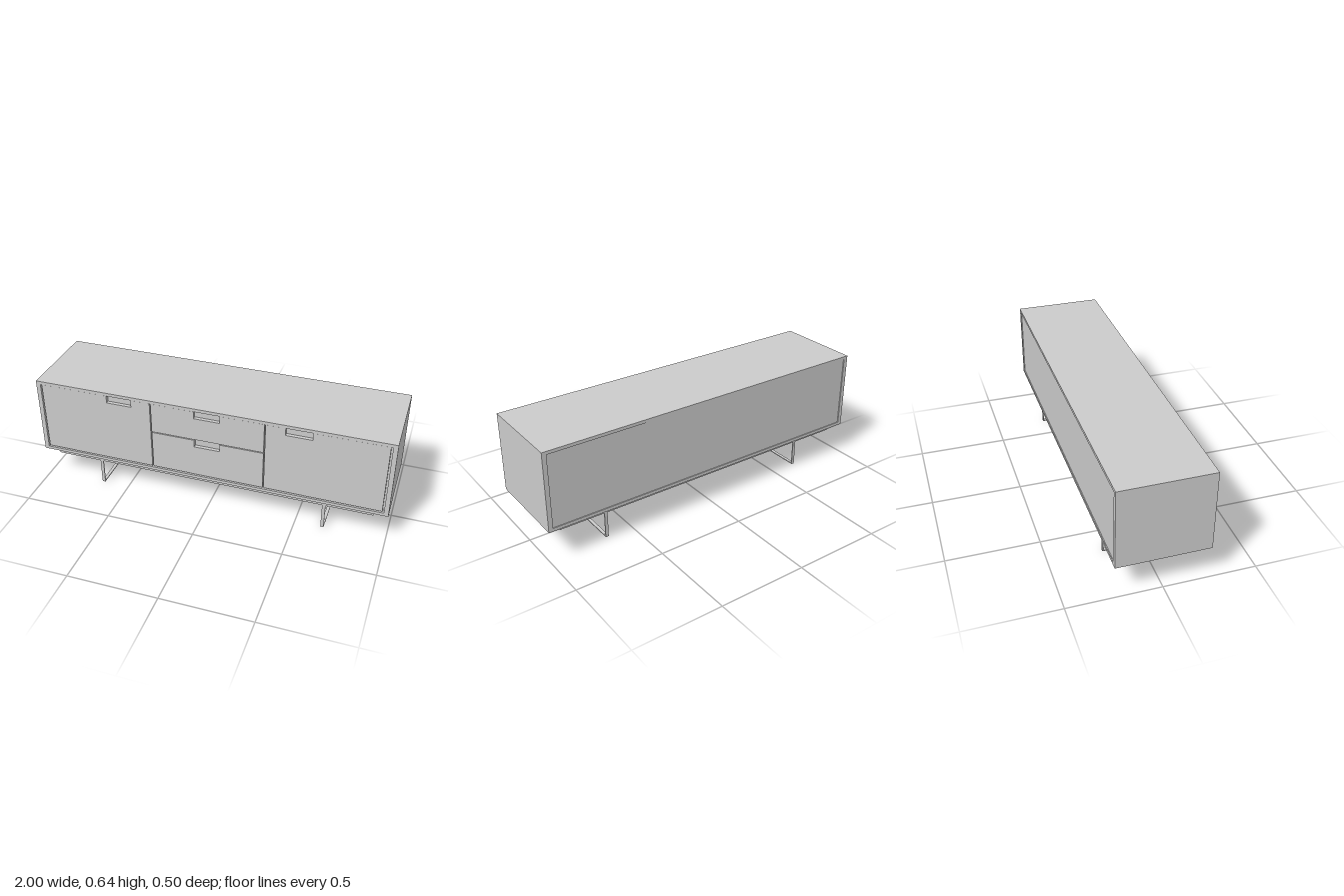
import * as THREE from 'three';

const material = new THREE.MeshStandardMaterial({ color: 0xcccccc });

export function createModel() {
  const model = new THREE.Group();
  model.name = 'sideboard';

  // Box given by its minimum and maximum on each axis
  function slab(name, [x0, x1], [y0, y1], [z0, z1], parent = model) {
    const mesh = new THREE.Mesh(new THREE.BoxGeometry(x1 - x0, y1 - y0, z1 - z0), material);
    mesh.position.set((x0 + x1) / 2, (y0 + y1) / 2, (z0 + z1) / 2);
    mesh.name = name;
    parent.add(mesh);
  }

  // Front panel with a finger notch cut into its top edge
  function notchedFront(name, [x0, x1], [y0, y1], [n0, n1]) {
    const notchY = y1 - 0.043, thickness = 0.02;
    const shape = new THREE.Shape([
      [x0, y0], [x1, y0], [x1, y1], [n1, y1], [n1, notchY], [n0, notchY], [n0, y1], [x0, y1],
    ].map(([x, y]) => new THREE.Vector2(x, y)));
    const geometry = new THREE.ExtrudeGeometry(shape, { depth: thickness, bevelEnabled: false });
    const mesh = new THREE.Mesh(geometry, material);
    mesh.position.z = 0.246 - thickness;
    mesh.name = name;
    model.add(mesh);
  }

  // Carcass
  slab('topPanel', [-1, 1], [0.623, 0.641], [-0.25, 0.25]);
  slab('bottomPanel', [-1, 1], [0.188, 0.206], [-0.25, 0.25]);
  slab('rightSidePanel', [-1, -0.975], [0.206, 0.623], [-0.25, 0.25]);
  slab('leftSidePanel', [0.975, 1], [0.206, 0.623], [-0.25, 0.25]);
  slab('cabinetBody', [-0.975, 0.975], [0.206, 0.623], [-0.245, 0.225]);

  // Doors and drawers
  notchedFront('rightDoor', [-0.969, -0.325], [0.212, 0.62], [-0.578, -0.434]);
  notchedFront('leftDoor', [0.321, 0.965], [0.212, 0.62], [0.428, 0.572]);
  notchedFront('upperDrawer', [-0.319, 0.315], [0.443, 0.62], [-0.074, 0.07]);
  notchedFront('lowerDrawer', [-0.319, 0.315], [0.212, 0.438], [-0.074, 0.07]);

  // Plinth under the cabinet
  slab('plinth', [-0.925, 0.92], [0.151, 0.188], [-0.209, 0.218]);

  // Rectangular loop legs
  const bar = 0.006, top = 0.151, back = -0.209, front = 0.218;
  for (const [name, x] of [['rightLeg', -0.657], ['leftLeg', 0.653]]) {
    const leg = new THREE.Group();
    leg.name = name;
    const width = [x - 0.009, x + 0.009];
    slab('footBar', width, [0, bar], [back, front], leg);
    slab('topBar', width, [top - bar, top], [back, front], leg);
    slab('frontPost', width, [bar, top - bar], [front - bar, front], leg);
    slab('backPost', width, [bar, top - bar], [back, back + bar], leg);
    model.add(leg);
  }

  return model;
}
